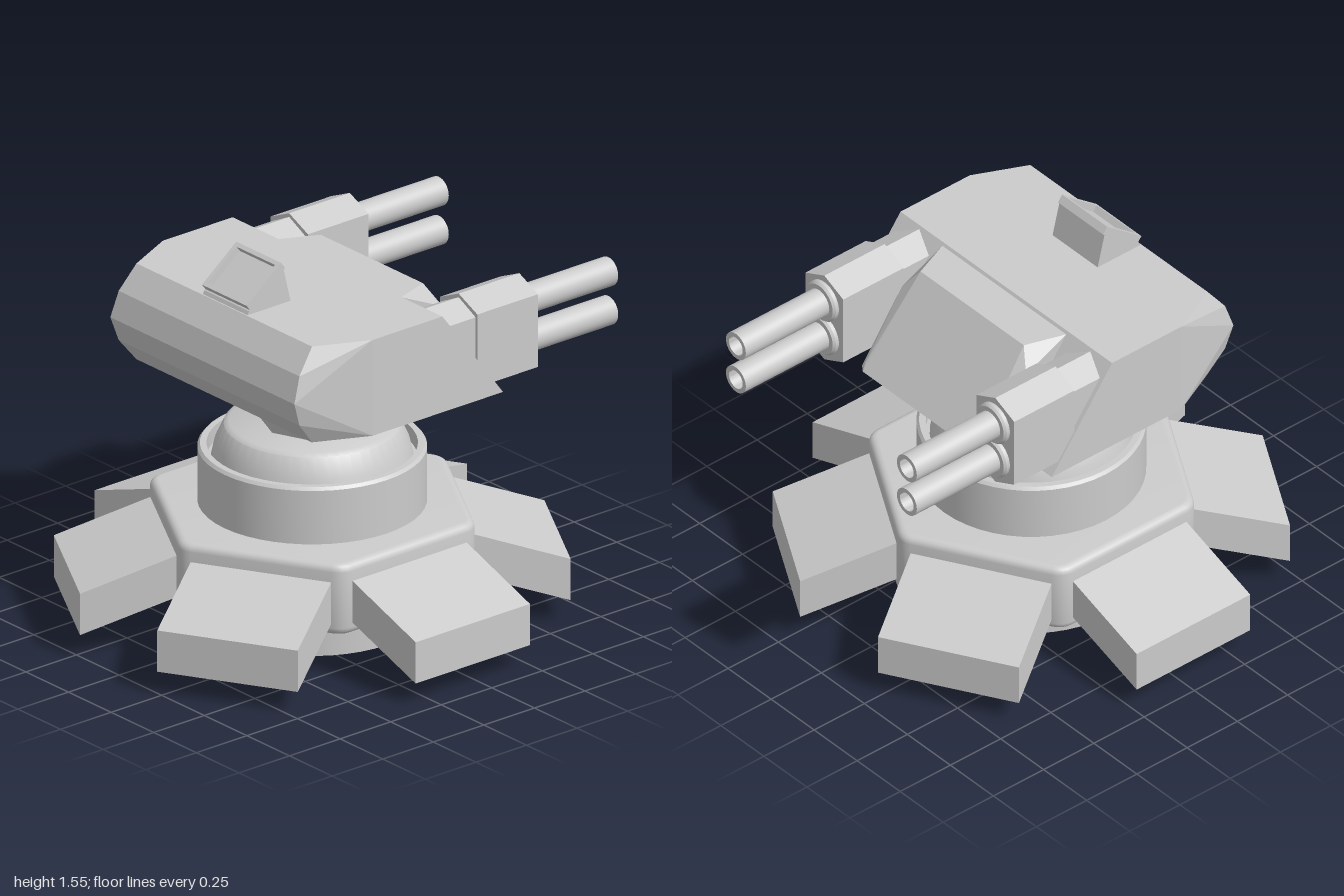
import * as THREE from 'three';
import { toCreasedNormals } from 'three/addons/utils/BufferGeometryUtils.js';
import { ConvexGeometry } from 'three/addons/geometries/ConvexGeometry.js';

const grey = new THREE.MeshStandardMaterial({ color: 0xcccccc });
const CX = -0.045; // axis of the base

function add(parent, name, geometry, x = 0, y = 0, z = 0) {
  const mesh = new THREE.Mesh(geometry, grey);
  mesh.name = name;
  mesh.position.set(x, y, z);
  parent.add(mesh);
  return mesh;
}

const vecs = (pts) => pts.map(([x, y]) => new THREE.Vector2(x, y));

function lathe(pts, segments = 48) {
  return toCreasedNormals(new THREE.LatheGeometry(vecs(pts), segments), 0.6);
}

// Extrudes a side profile, centred on z
function slab(pts, width) {
  const g = new THREE.ExtrudeGeometry(new THREE.Shape(vecs(pts)), { depth: width, bevelEnabled: false });
  return g.translate(0, 0, -width / 2);
}

// Convex solid from points mirrored in z
function mirroredHull(pts) {
  return new ConvexGeometry(pts.flatMap(([x, y, z]) => [new THREE.Vector3(x, y, z), new THREE.Vector3(x, y, -z)]));
}

// Hexagonal plate with slightly rounded corners and rolled rims
function hexPlate() {
  const r = 0.625, bevel = 0.03, shape = new THREE.Shape();
  const corner = (i) => new THREE.Vector2(Math.cos(i * Math.PI / 3), Math.sin(i * Math.PI / 3)).multiplyScalar(r);
  for (let i = 0; i < 6; i++) {
    const c = corner(i);
    const a = c.clone().lerp(corner(i - 1), 0.05), b = c.clone().lerp(corner(i + 1), 0.05);
    if (i === 0) shape.moveTo(a.x, a.y); else shape.lineTo(a.x, a.y);
    shape.quadraticCurveTo(c.x, c.y, b.x, b.y);
  }
  shape.closePath();
  const g = new THREE.ExtrudeGeometry(shape, {
    depth: 0.23, bevelThickness: bevel, bevelSize: bevel, bevelSegments: 4, curveSegments: 4,
  });
  g.rotateX(-Math.PI / 2).translate(0, bevel, 0);
  return toCreasedNormals(g, 0.6);
}

// Pointed six-sided casing running along x
function casing(halfWidth, bottom, top, length) {
  const w = halfWidth, s = 0.05;
  const pts = [[0, bottom], [w, bottom + s], [w, top - s], [0, top], [-w, top - s], [-w, bottom + s]];
  const g = new THREE.ExtrudeGeometry(new THREE.Shape(vecs(pts)), { depth: length, bevelEnabled: false });
  return g.rotateY(Math.PI / 2);
}

function createGun() {
  const gun = new THREE.Group();
  add(gun, 'gunNeck', casing(0.1, 1.0, 1.37, 0.2), 0.085);
  add(gun, 'gunCasing', casing(0.11, 0.985, 1.385, 0.3), 0.26);
  const collar = lathe([[0, 0], [0.085, 0], [0.085, 0.02], [0.078, 0.03], [0, 0.03]], 32).rotateZ(-Math.PI / 2);
  const barrel = lathe([[0.058, 0], [0.058, 0.43], [0.04, 0.43], [0.04, 0.12], [0, 0.12]], 32).rotateZ(-Math.PI / 2);
  for (const y of [1.11, 1.27]) {
    add(gun, 'barrelCollar', collar, 0.555, y);
    add(gun, 'barrel', barrel, 0.57, y);
  }
  return gun;
}

export function createModel() {
  const model = new THREE.Group();
  model.name = 'turret';

  // Base: drum with a recessed rim around a shallow cone
  const base = new THREE.Group();
  base.name = 'base';
  base.position.x = CX;
  model.add(base);
  add(base, 'drum', lathe([
    [0, 0], [0.435, 0], [0.435, 0.68], [0.425, 0.692], [0.4, 0.692], [0.4, 0.63],
    [0.385, 0.63], [0.37, 0.7], [0.335, 0.775], [0.315, 0.787], [0, 0.787],
  ]));
  add(base, 'hexPlate', hexPlate(), 0, 0.17);

  // Six sloping feet, one on each side of the plate
  const foot = slab([[0.45, 0.26], [0.942, 0.09], [0.942, 0.26], [0.45, 0.432]], 0.565);
  for (let i = 0; i < 6; i++) {
    add(base, 'foot', foot).rotation.y = Math.PI / 6 + i * Math.PI / 3;
  }

  // Eight-sided flared neck
  const neck = new THREE.CylinderGeometry(0.295, 0.195, 0.21, 8).toNonIndexed();
  neck.computeVertexNormals();
  add(base, 'neck', neck, 0, 0.885);

  // Hull: sloped front, rounded and narrowed rear
  add(model, 'hull', mirroredHull([
    [0.08, 1.38, 0.615], [0.38, 0.985, 0.615], [-0.265, 1.38, 0.615], [-0.265, 0.985, 0.615],
    [-0.48, 1.38, 0.515], [-0.555, 1.283, 0.53], [-0.588, 1.18, 0.54], [-0.555, 1.08, 0.53], [-0.48, 0.985, 0.515],
  ]));
  add(model, 'frontPlate', mirroredHull([
    [0.09, 1.372, 0.36], [0.25, 1.365, 0.3], [0.29, 1.28, 0.36], [0.5, 1.035, 0.33],
    [0.52, 1.01, 0.32], [0.49, 1.0, 0.36], [0.37, 0.99, 0.36],
  ]));

  // Sight: wedge with a framed, sunken window on its slope
  const sight = new THREE.Group();
  sight.name = 'sight';
  model.add(sight);
  add(sight, 'sightBody', slab([[-0.48, 1.37], [-0.26, 1.37], [-0.298, 1.524], [-0.468, 1.394]], 0.262));
  const slope = Math.atan2(0.13, 0.17), length = 0.214, half = 0.131, rim = 0.018;
  const frame = new THREE.Shape(vecs([[0, -half], [length, -half], [length, half], [0, half]]));
  frame.holes.push(new THREE.Path(vecs([
    [rim, -half + rim], [rim, half - rim], [length - rim, half - rim], [length - rim, -half + rim],
  ])));
  const frameGeometry = new THREE.ExtrudeGeometry(frame, { depth: 0.034, bevelEnabled: false });
  frameGeometry.rotateX(-Math.PI / 2).translate(0, -0.034, 0).rotateZ(slope);
  add(sight, 'sightFrame', frameGeometry, -0.48, 1.42);

  // Twin-barrelled guns on both sides
  for (const side of [1, -1]) {
    const gun = createGun();
    gun.name = side > 0 ? 'frontGun' : 'rearGun';
    gun.position.z = side * 0.497;
    model.add(gun);
  }
  return model;
}
